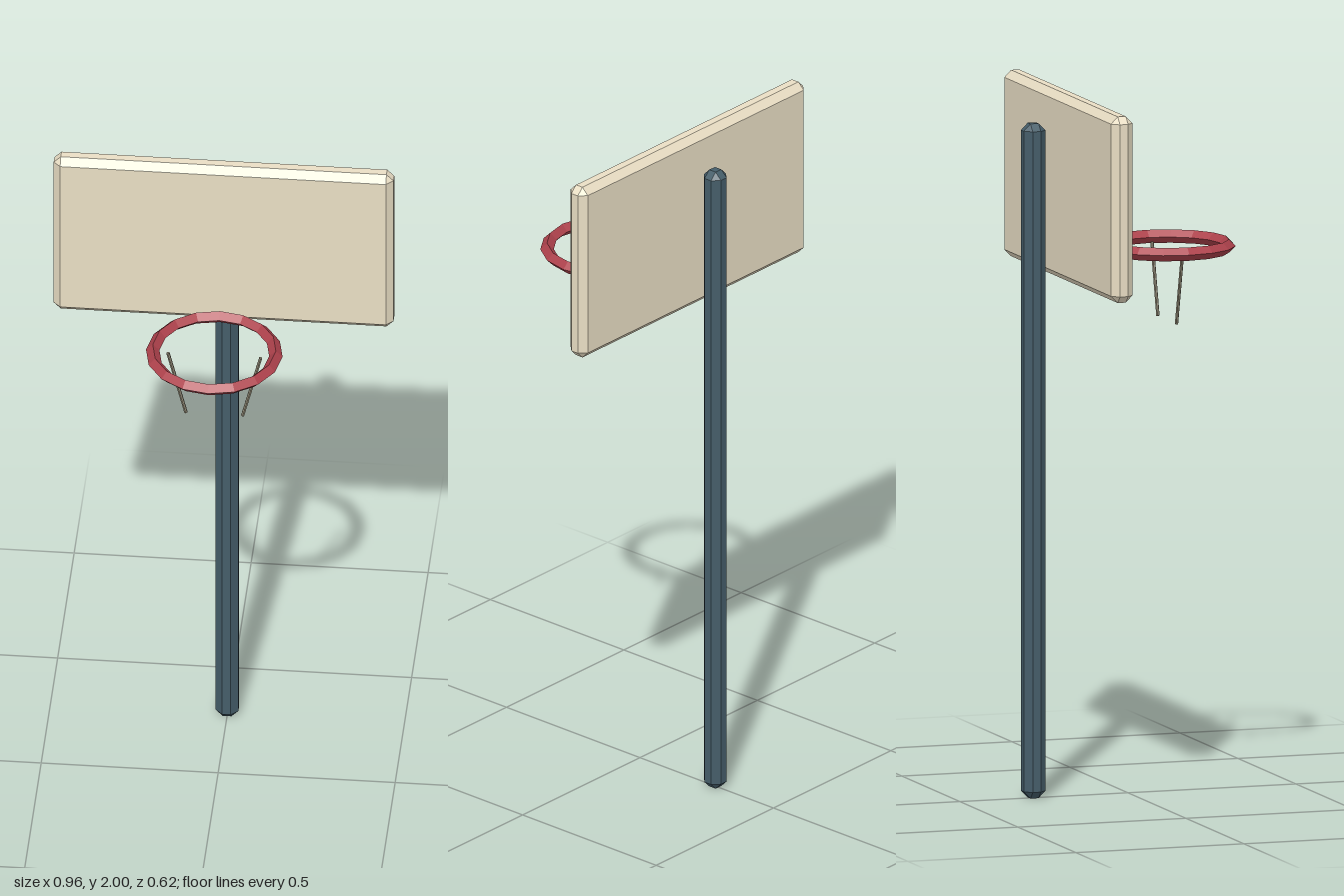
import * as THREE from 'three';
import { ConvexGeometry } from 'three/addons/geometries/ConvexGeometry.js';

const material = (color) => new THREE.MeshStandardMaterial({ color, flatShading: true });

// Box with every edge bevelled by c
function chamferedBox(w, h, d, c) {
  const points = [];
  for (const sx of [-1, 1]) for (const sy of [-1, 1]) for (const sz of [-1, 1]) {
    for (let axis = 0; axis < 3; axis++) {
      const p = [w, h, d].map((size, i) => size / 2 - (i === axis ? 0 : c));
      points.push(new THREE.Vector3(sx * p[0], sy * p[1], sz * p[2]));
    }
  }
  return new ConvexGeometry(points);
}

export function createModel() {
  const model = new THREE.Group();
  const add = (name, geometry, mat, x, y, z) => {
    const mesh = new THREE.Mesh(geometry, mat);
    mesh.name = name;
    mesh.position.set(x, y, z);
    model.add(mesh);
    return mesh;
  };

  // Upright pole and backboard
  add('pole', chamferedBox(0.064, 1.92, 0.064, 0.02), material(0x455d69), 0, 0.96, -0.282);
  add('backboard', chamferedBox(0.96, 0.53, 0.064, 0.02), material(0xe9dec4), 0, 1.735, -0.177);

  // Hoop: diamond section, sixteen segments
  const ring = new THREE.TorusGeometry(0.174, 0.019, 4, 16).rotateX(Math.PI / 2);
  add('hoop', ring, material(0xae424c), 0, 1.552, 0.117);

  // Two net cords leaning inwards below the hoop
  const cordMaterial = material(0x8f8874);
  const top = new THREE.Vector2(0.131, 1.544);
  const bottom = new THREE.Vector2(0.08, 1.34);
  const length = top.distanceTo(bottom);
  const lean = Math.atan2(top.x - bottom.x, top.y - bottom.y);
  for (const side of [1, -1]) {
    const cord = add(side > 0 ? 'leftCord' : 'rightCord',
      new THREE.CylinderGeometry(0.005, 0.005, length, 6), cordMaterial,
      side * (top.x + bottom.x) / 2, (top.y + bottom.y) / 2, 0.117);
    cord.rotation.z = -side * lean;
  }
  return model;
}
